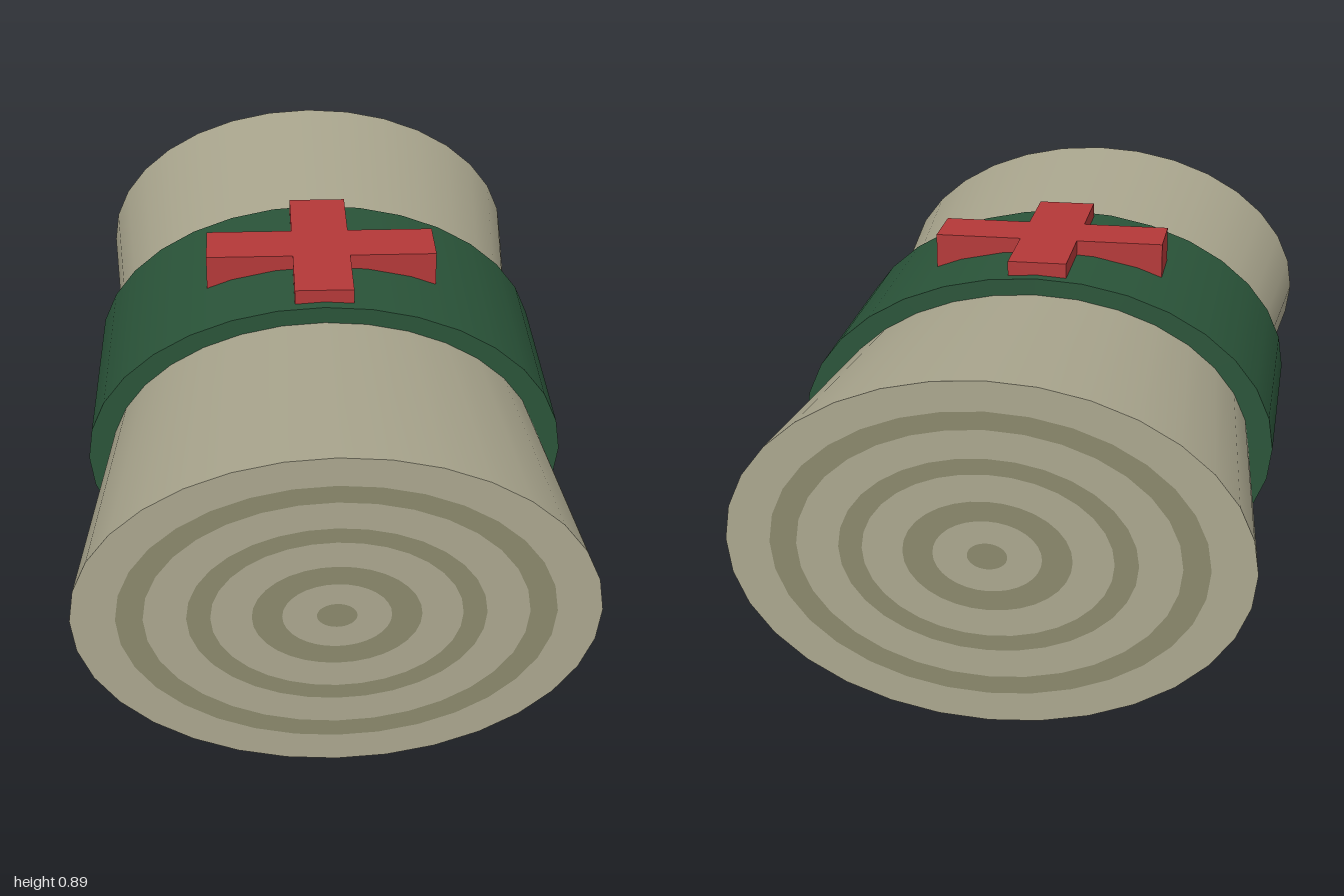
import * as THREE from 'three';

const RX = 0.615, RY = 0.43, CY = 0.432, SEGMENTS = 32;

const cloth = new THREE.MeshStandardMaterial({ color: 0xaaa68e });
const clothDark = new THREE.MeshStandardMaterial({ color: 0x8a886c });
const green = new THREE.MeshStandardMaterial({ color: 0x2a5439 });
const red = new THREE.MeshStandardMaterial({ color: 0xb43838 });

function addPart(parent, name, geometry, material) {
  const mesh = new THREE.Mesh(geometry, material);
  mesh.name = name;
  parent.add(mesh);
  return mesh;
}

// Elliptical drum along z; radii are fractions of the full ellipse.
function drum(frontRadius, backRadius, length, open) {
  return new THREE.CylinderGeometry(frontRadius, backRadius, length, SEGMENTS, 1, open)
    .rotateX(Math.PI / 2)
    .scale(RX, RY, 1);
}

export function createModel() {
  const model = new THREE.Group();
  model.name = 'bandageRoll';

  const roll = new THREE.Group();
  roll.name = 'roll';
  roll.position.y = CY;
  model.add(roll);

  // Boundaries of the wound layers, alternating dark and light from the centre
  const layers = [0, 0.076, 0.206, 0.32, 0.475, 0.565, 0.727, 0.83, 1];

  // Two mirrored halves, pinched at the waist
  for (const [side, turn] of [['front', 0], ['back', Math.PI]]) {
    const half = new THREE.Group();
    half.name = side + 'Half';
    half.rotation.y = turn;
    roll.add(half);

    addPart(half, 'wrap', drum(1, 0.857, 1, true).translate(0, 0, 0.5), cloth);

    for (let i = 0; i < layers.length - 1; i++) {
      const ring = i === 0
        ? new THREE.CircleGeometry(layers[1], SEGMENTS)
        : new THREE.RingGeometry(layers[i], layers[i + 1], SEGMENTS);
      ring.scale(RX, RY, 1).translate(0, 0, 1);
      addPart(half, 'endLayer' + (i + 1), ring, i % 2 ? cloth : clothDark);
    }
  }

  // Band around the middle
  addPart(roll, 'band', drum(1, 1, 0.6, false), green);

  // Cross plate set into the top of the band
  const w = 0.075, ax = 0.3, az = 0.27;
  const outline = [
    [w, w], [w, az], [-w, az], [-w, w], [-ax, w], [-ax, -w],
    [-w, -w], [-w, -az], [w, -az], [w, -w], [ax, -w], [ax, w],
  ].map(([x, y]) => new THREE.Vector2(x, y));
  const cross = new THREE.ExtrudeGeometry(new THREE.Shape(outline), { depth: 0.09, bevelEnabled: false });
  cross.rotateX(-Math.PI / 2).translate(0, 0.805, 0);
  addPart(model, 'cross', cross, red);

  return model;
}
